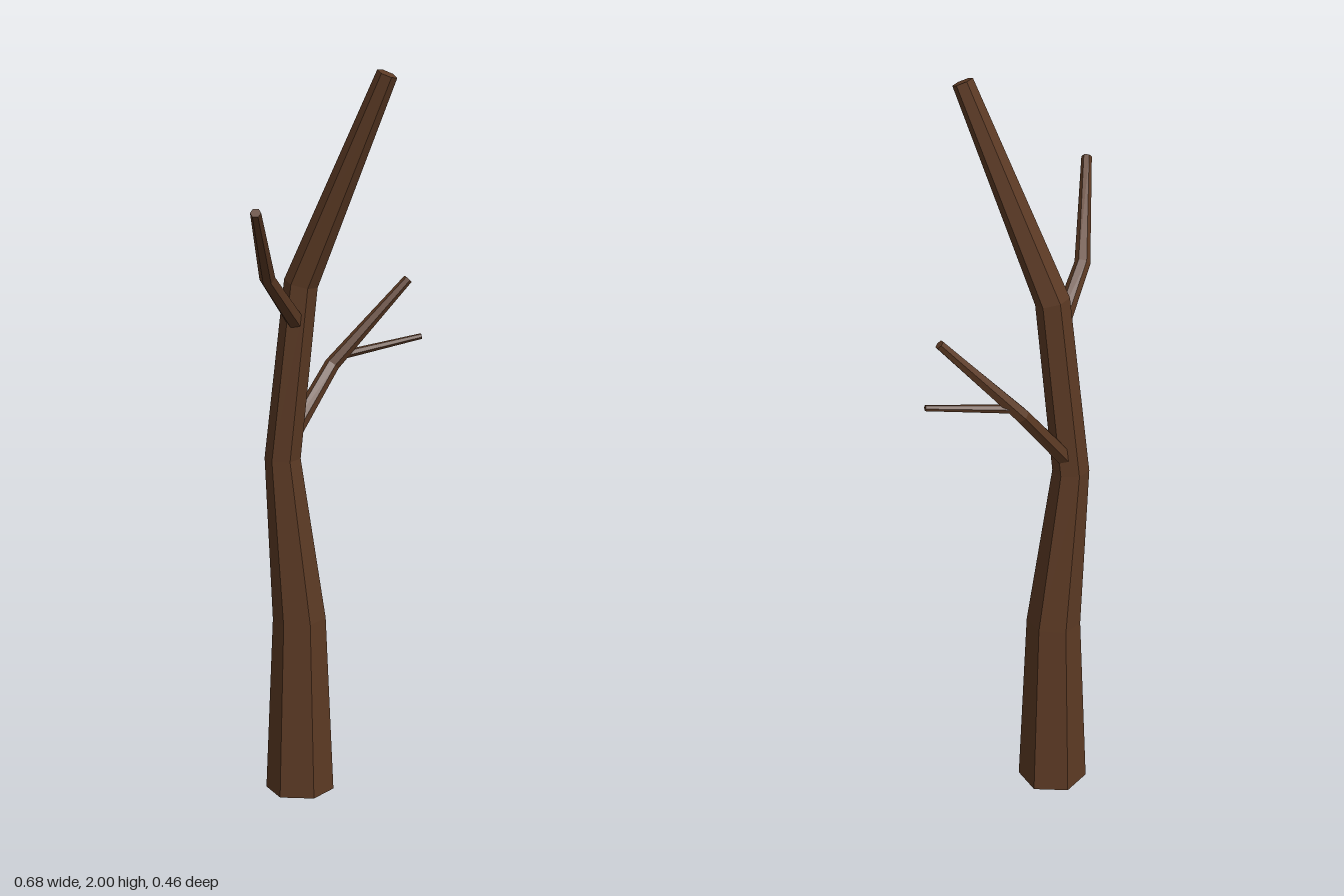
import * as THREE from 'three';

const SIDES = 6;
const UP = new THREE.Vector3(0, 1, 0);

// Faceted tapering limb: nodes are [x, y, z, radius]; rings sit square to the path.
function limb(name, nodes, material, flatStart = false) {
  const points = nodes.map(([x, y, z]) => new THREE.Vector3(x, y, z));
  const last = points.length - 1;
  const position = [];
  const index = [];

  points.forEach((p, i) => {
    const tangent = new THREE.Vector3();
    if (i > 0) tangent.add(p.clone().sub(points[i - 1]).normalize());
    if (i < last) tangent.add(points[i + 1].clone().sub(p).normalize());
    if (i === 0 && flatStart) tangent.copy(UP);
    const turn = new THREE.Quaternion().setFromUnitVectors(UP, tangent.normalize());
    for (let s = 0; s < SIDES; s++) {
      const a = (s / SIDES) * Math.PI * 2;
      const v = new THREE.Vector3(Math.sin(a), 0, Math.cos(a))
        .multiplyScalar(nodes[i][3]).applyQuaternion(turn).add(p);
      position.push(v.x, v.y, v.z);
    }
  });

  // Side walls
  for (let i = 0; i < last; i++) {
    for (let s = 0; s < SIDES; s++) {
      const a = i * SIDES + s;
      const b = i * SIDES + ((s + 1) % SIDES);
      index.push(a, b, b + SIDES, a, b + SIDES, a + SIDES);
    }
  }
  // End caps
  const top = last * SIDES;
  for (let s = 1; s < SIDES - 1; s++) {
    index.push(0, s + 1, s);
    index.push(top, top + s, top + s + 1);
  }

  const indexed = new THREE.BufferGeometry();
  indexed.setAttribute('position', new THREE.Float32BufferAttribute(position, 3));
  indexed.setIndex(index);
  const geometry = indexed.toNonIndexed();
  geometry.computeVertexNormals();
  const mesh = new THREE.Mesh(geometry, material);
  mesh.name = name;
  return mesh;
}

export function createModel() {
  const tree = new THREE.Group();
  tree.name = 'bareTree';
  const bark = new THREE.MeshStandardMaterial({ color: 0x5c3a24, flatShading: true });

  tree.add(
    limb('trunk', [
      [-0.057, 0, -0.132, 0.094],
      [-0.058, 0.495, -0.13, 0.073],
      [-0.101, 0.95, -0.14, 0.049],
      [-0.06, 1.43, -0.107, 0.046],
      [0.106, 1.99, 0.069, 0.028],
    ], bark, true),
    limb('rightBranch', [
      [-0.075, 1.325, -0.1, 0.025],
      [-0.205, 1.47, 0.003, 0.021],
      [-0.329, 1.675, 0.217, 0.014],
    ], bark),
    limb('leftBranch', [
      [-0.075, 1.0, -0.15, 0.024],
      [0.08, 1.18, -0.211, 0.021],
      [0.293, 1.407, -0.175, 0.013],
    ], bark),
    limb('twig', [
      [0.115, 1.205, -0.208, 0.012],
      [0.337, 1.243, -0.18, 0.008],
    ], bark),
  );
  return tree;
}
